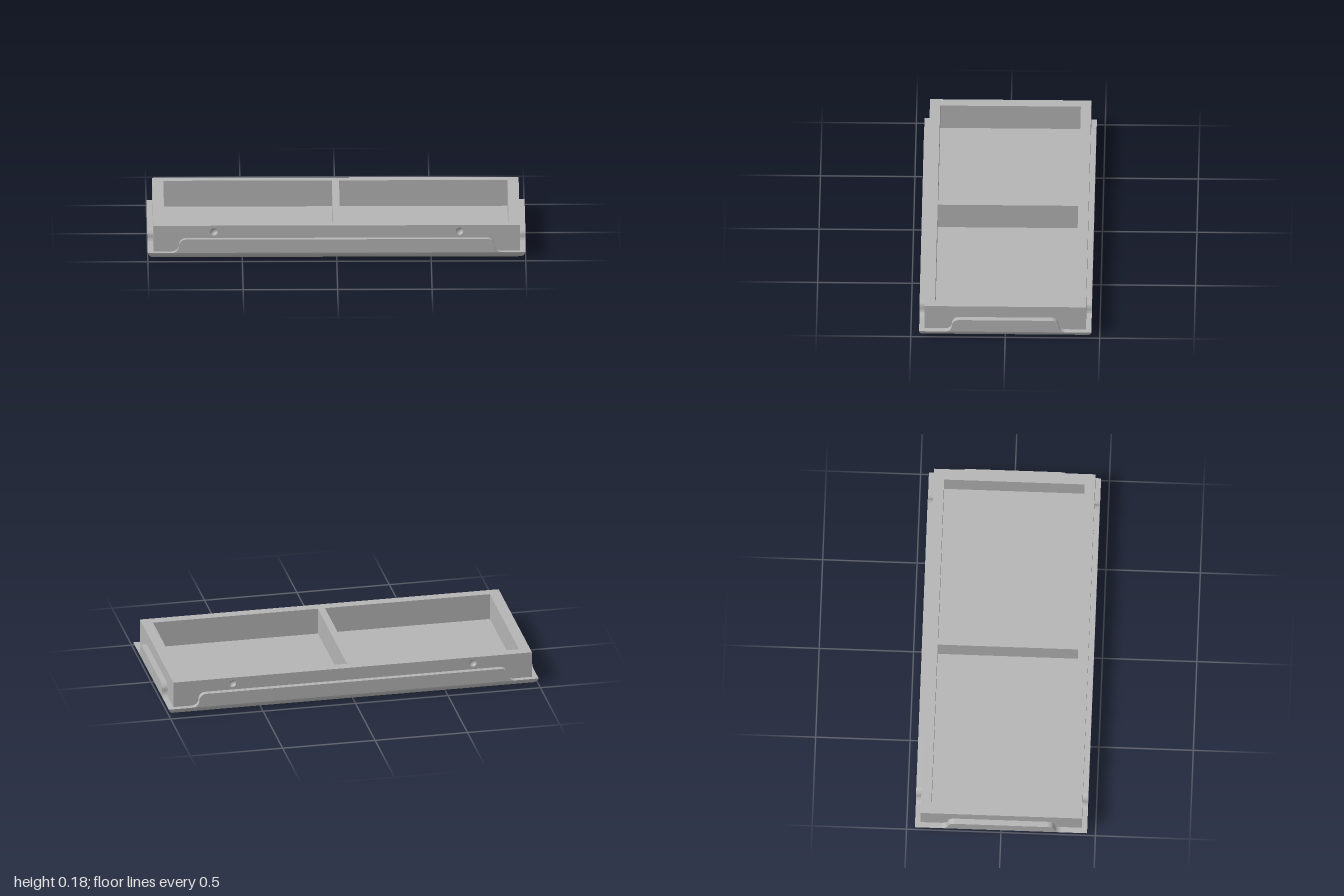
import * as THREE from 'three';
import { toCreasedNormals } from 'three/addons/utils/BufferGeometryUtils.js';

const HX = 1, HZ = 0.456;            // tray half sizes
const BX = 0.97, BZ = 0.427;         // inner box half sizes
const TOP = 0.176, PLATE = 0.035, RIM = 0.108, FLOOR = 0.033;
const PX0 = 0.019, PX1 = 0.911, PZ = 0.372; // pocket limits
const R = 0.045;                     // tray bottom rounding
const HOLE_X = 0.65, HOLE_Y = 0.142, HOLE_R = 0.02;

const rect = (x0, y0, x1, y1, C = THREE.Shape) => {
  const s = new C();
  s.moveTo(x0, y0).lineTo(x1, y0).lineTo(x1, y1).lineTo(x0, y1).closePath();
  return s;
};

// One rounded lower edge of the tray, mitred at both ends, facing +z
function roundedEdge(halfLength, halfDepth, steps = 12) {
  const pos = [], nor = [], idx = [];
  const end = Math.acos((R - PLATE) / R);
  const out = Math.sin(end);
  for (let i = 0; i <= steps; i++) {
    const a = (i / steps) * end;
    const y = R * (1 - Math.cos(a)), inset = R * (out - Math.sin(a));
    for (const s of [-1, 1]) {
      pos.push(s * (halfLength - inset), y, halfDepth - inset);
      nor.push(0, -Math.cos(a), Math.sin(a));
    }
    if (i < steps) {
      const k = i * 2;
      idx.push(k, k + 1, k + 3, k, k + 3, k + 2);
    }
  }
  const g = new THREE.BufferGeometry();
  g.setAttribute('position', new THREE.Float32BufferAttribute(pos, 3));
  g.setAttribute('normal', new THREE.Float32BufferAttribute(nor, 3));
  g.setIndex(idx);
  return g;
}

// Raised lip with S-curved ends, facing +z
function lip(v, halfDepth, thickness) {
  const r = (RIM - PLATE) / 2, mid = PLATE + r, H = Math.PI / 2;
  const s = new THREE.Shape();
  s.moveTo(-v - r, PLATE);
  s.lineTo(v + r, PLATE);
  s.absarc(v + r, mid, r, -H, -2 * H, true);
  s.absarc(v - r, mid, r, 0, H, false);
  s.lineTo(-v + r, RIM);
  s.absarc(-v + r, mid, r, H, 2 * H, false);
  s.absarc(-v - r, mid, r, 0, -H, true);
  const g = new THREE.ExtrudeGeometry(s, { depth: thickness, bevelEnabled: false, curveSegments: 12 });
  g.translate(0, 0, halfDepth - thickness);
  return toCreasedNormals(g, 0.6);
}

export function createModel() {
  const model = new THREE.Group();
  const grey = new THREE.MeshStandardMaterial({ color: 0xb4b4b4 });
  grey.name = 'grey';

  const add = (parent, name, geometry, x = 0, y = 0, z = 0, ry = 0) => {
    const m = new THREE.Mesh(geometry, grey);
    m.name = name;
    m.position.set(x, y, z);
    m.rotation.y = ry;
    parent.add(m);
    return m;
  };
  const group = (name) => {
    const g = new THREE.Group();
    g.name = name;
    model.add(g);
    return g;
  };

  // Tray: bottom, ledge, rounded edges and lips
  const tray = group('tray');
  const inset = R * Math.sin(Math.acos((R - PLATE) / R));
  add(tray, 'trayBottom', new THREE.PlaneGeometry(2 * (HX - inset), 2 * (HZ - inset)).rotateX(Math.PI / 2));
  const ledge = rect(-HX, -HZ, HX, HZ);
  ledge.holes.push(rect(-BX, -BZ, BX, BZ, THREE.Path));
  add(tray, 'trayLedge', new THREE.ShapeGeometry(ledge).rotateX(-Math.PI / 2), 0, PLATE, 0);
  for (const turn of [0, Math.PI]) {
    add(tray, 'longEdge', roundedEdge(HX, HZ), 0, 0, 0, turn);
    add(tray, 'shortEdge', roundedEdge(HZ, HX), 0, 0, 0, turn + Math.PI / 2);
    add(tray, 'longLip', lip(0.835, HZ, HZ - BZ), 0, 0, 0, turn);
    add(tray, 'shortLip', lip(0.282, HX, HX - BX), 0, 0, 0, turn + Math.PI / 2);
  }

  // Box top rim with two pocket openings
  const box = group('box');
  const rim = rect(-BX, -BZ, BX, BZ);
  for (const s of [-1, 1]) rim.holes.push(rect(s * PX0, -PZ, s * PX1, PZ, THREE.Path));
  add(box, 'boxRim', new THREE.ShapeGeometry(rim).rotateX(-Math.PI / 2), 0, TOP, 0);

  // Outer walls, the long ones with two round dimples each
  const wall = rect(-BX, PLATE, BX, TOP);
  for (const s of [-1, 1]) {
    const hole = new THREE.Path();
    hole.absarc(s * HOLE_X, HOLE_Y, HOLE_R, 0, Math.PI * 2, true);
    wall.holes.push(hole);
  }
  // Bowl of a dimple, opening toward +z
  const dimple = new THREE.LatheGeometry(
    Array.from({ length: 9 }, (_, i) => {
      const a = (i / 8) * Math.PI / 2;
      return new THREE.Vector2(HOLE_R * Math.cos(a), -HOLE_R * Math.sin(a));
    }), 24).rotateX(Math.PI / 2);
  const bowlMaterialSide = new THREE.MeshStandardMaterial({ color: 0xb4b4b4, side: THREE.DoubleSide });
  bowlMaterialSide.name = 'grey inside';
  for (const turn of [0, Math.PI]) {
    const side = new THREE.Group();
    side.name = 'longSide';
    side.rotation.y = turn;
    box.add(side);
    add(side, 'longWall', new THREE.ShapeGeometry(wall, 24), 0, 0, BZ);
    for (const s of [-1, 1]) {
      add(side, 'dimple', dimple, s * HOLE_X, HOLE_Y, BZ).material = bowlMaterialSide;
    }
    add(box, 'shortWall', new THREE.PlaneGeometry(2 * BZ, TOP - PLATE),
      turn ? -BX : BX, (TOP + PLATE) / 2, 0, turn + Math.PI / 2);
  }

  // Pockets: floor and four inward-facing walls
  const w = PX1 - PX0, h = TOP - FLOOR, y = (TOP + FLOOR) / 2;
  for (const s of [-1, 1]) {
    const pocket = group(s > 0 ? 'leftPocket' : 'rightPocket');
    const cx = s * (PX0 + PX1) / 2;
    add(pocket, 'pocketFloor', new THREE.PlaneGeometry(w, 2 * PZ).rotateX(-Math.PI / 2), cx, FLOOR, 0);
    for (const d of [-1, 1]) {
      add(pocket, 'pocketLongWall', new THREE.PlaneGeometry(w, h), cx, y, d * PZ, d > 0 ? Math.PI : 0);
      add(pocket, 'pocketShortWall', new THREE.PlaneGeometry(2 * PZ, h), cx + d * w / 2, y, 0, -d * Math.PI / 2);
    }
  }
  return model;
}
